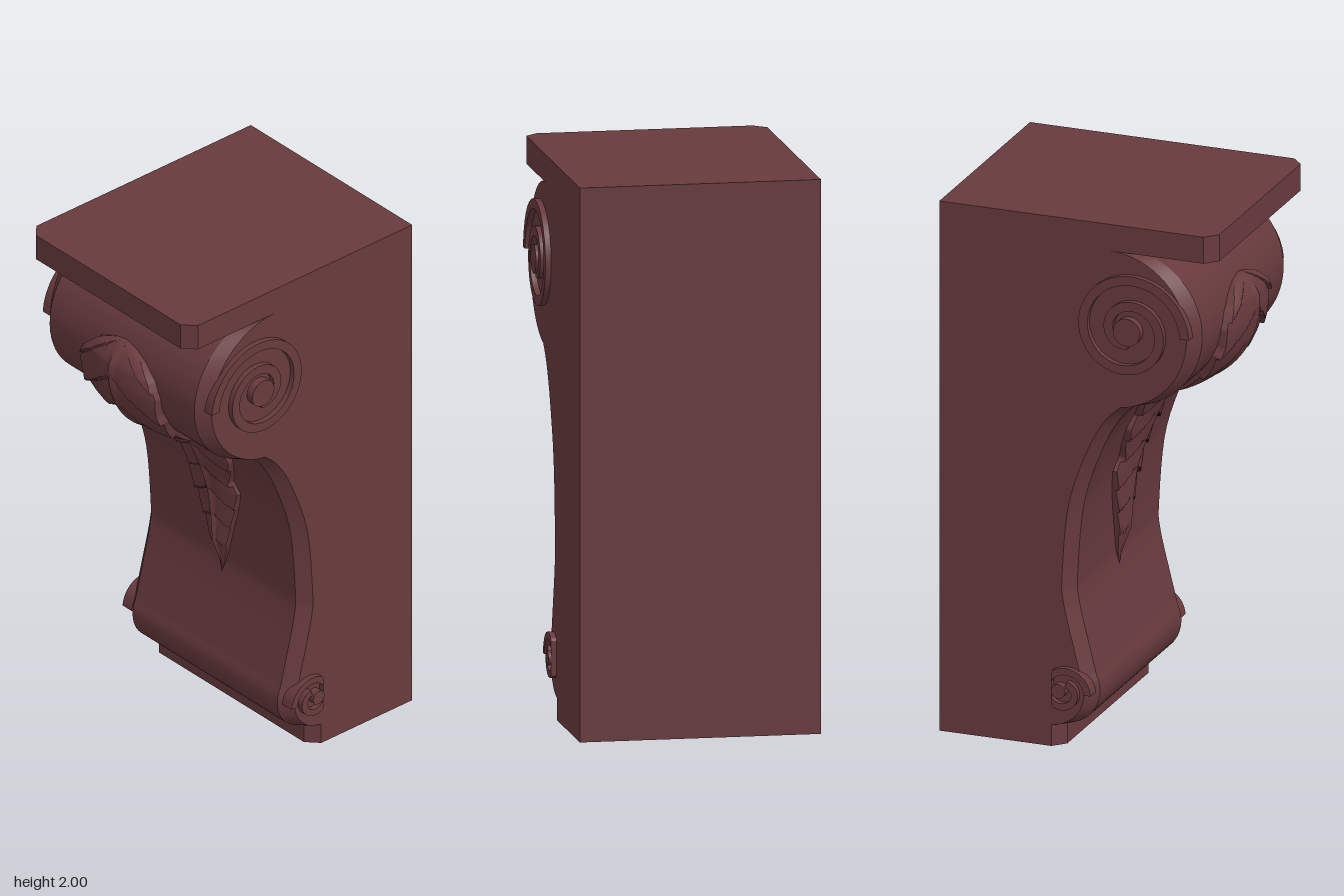
import * as THREE from 'three';
import { toCreasedNormals } from 'three/addons/utils/BufferGeometryUtils.js';

const V = (z, y) => new THREE.Vector2(z, y);
const material = new THREE.MeshStandardMaterial({ color: 0x683a3d, side: THREE.DoubleSide });

// Points of an arc in the side plane (z, y), angles in radians
function arc(cz, cy, r, a0, a1, n) {
  return Array.from({ length: n + 1 }, (_, i) => {
    const a = a0 + (a1 - a0) * i / n;
    return V(cz + r * Math.cos(a), cy + r * Math.sin(a));
  });
}

// Front curve: upper scroll, hollow throat, lower scroll
function frontCurve() {
  const upper = arc(0.16, 1.605, 0.295, Math.PI / 2, -1.43, 30);
  const lower = arc(-0.07, 0.215, 0.135, 0.44, -1.5, 16);
  const throat = new THREE.SplineCurve([
    upper.at(-1), V(0.14, 1.25), V(0.075, 1.13), V(0.005, 0.92),
    V(-0.02, 0.65), V(-0.015, 0.55), V(0.02, 0.4), lower[0],
  ]).getPoints(36).slice(1, -1);
  return [...upper, ...throat, ...lower];
}

// Solid profile across the width, its front edges chamfered at both sides
function bodyGeometry(front) {
  const shape = new THREE.Shape([
    V(-0.53, 0), V(-0.53, 2), V(0.52, 2), V(0.52, 1.9),
    ...front, V(-0.06, 0.08), V(-0.06, 0),
  ]);
  const geo = new THREE.ExtrudeGeometry(shape, { depth: 3, steps: 3, bevelEnabled: false });
  geo.rotateY(-Math.PI / 2);
  const xs = [0.435, 0.39, -0.39, -0.435];
  const p = geo.attributes.position;
  for (let i = 0; i < p.count; i++) {
    const k = Math.round(-p.getX(i));
    p.setX(i, xs[k]);
    if ((k === 0 || k === 3) && p.getZ(i) > -0.5) p.setZ(i, p.getZ(i) - 0.042);
  }
  geo.computeVertexNormals();
  return toCreasedNormals(geo, 0.35);
}

// Flat spiral band; zMin cuts it off at the back
function spiralGeometry(cz, cy, r0, r1, turns, width, zMin) {
  const n = Math.round(turns * 40), outer = [], inner = [];
  for (let i = 0; i <= n; i++) {
    const t = i / n, a = t * turns * Math.PI * 2, r = r0 + (r1 - r0) * t;
    const at = (q) => V(Math.max(zMin, cz + q * Math.cos(a)), cy + q * Math.sin(a));
    outer.push(at(r));
    inner.unshift(at(r - width));
  }
  const geo = new THREE.ExtrudeGeometry(new THREE.Shape([...outer, ...inner]), { depth: 0.05, bevelEnabled: false });
  geo.rotateY(-Math.PI / 2);
  geo.translate(0.025, 0, 0);
  return toCreasedNormals(geo, 0.5);
}

// Leaf half widths by height, with scalloped lobes
const leafWidths = [
  [0.55, 0], [0.75, 0.065], [0.95, 0.135], [1.0, 0.112], [1.05, 0.135], [1.13, 0.165],
  [1.18, 0.148], [1.28, 0.19], [1.33, 0.175], [1.37, 0.19], [1.47, 0.215], [1.5, 0.205],
  [1.57, 0.21], [1.63, 0.182], [1.68, 0.12], [1.705, 0.06], [1.716, 0],
];
function leafWidth(y) {
  const i = leafWidths.findIndex(([h]) => h >= y);
  if (i < 1) return 0;
  const [y0, w0] = leafWidths[i - 1], [y1, w1] = leafWidths[i];
  return w0 + (w1 - w0) * (y - y0) / (y1 - y0);
}

// Carved leaf draped over the front curve, with herringbone folds
function leafGeometry(front) {
  const curve = new THREE.SplineCurve(front);
  curve.arcLengthDivisions = 800;
  const length = curve.getLength(), cols = 48, rows = [];
  for (let i = 0; i <= 320; i++) {
    const pt = curve.getPointAt(i / 320);
    if (pt.y > 0.55 && pt.y < 1.716) rows.push({ pt, t: curve.getTangentAt(i / 320), s: length * i / 320 });
  }
  const pos = [], index = [], s0 = rows[0].s, total = rows.at(-1).s - s0;
  rows.forEach(({ pt, t, s }, i) => {
    const d = s - s0, w = leafWidth(pt.y);
    const thick = THREE.MathUtils.lerp(0.058, 0.036, Math.min(1, d / 0.5))
      * Math.min(1, Math.sqrt(d / 0.08)) * Math.min(1, (total - d) / 0.15);
    for (let j = 0; j <= cols; j++) {
      const u = j / cols * 2 - 1, a = Math.abs(u), x = u * w;
      const f = (((d - 0.65 * Math.abs(x)) / 0.12) % 1 + 1) % 1;
      const fold = 0.017 * (f - 0.5) * Math.min(1, d / 0.12) * Math.min(1, a * 4)
        * Math.min(1, (total - d) / 0.4);
      const ridge = 0.012 * Math.max(0, 1 - a * 7);
      const h = a > 0.99 ? -0.015 : thick * Math.sqrt(1 - 0.75 * a * a) + fold
        + ridge * Math.min(1, d / 0.1) * Math.min(1, (total - d) / 0.15);
      pos.push(x, pt.y + t.x * h, pt.x - t.y * h);
      if (i && j) {
        const c = i * (cols + 1) + j, b = c - 1, e = c - cols - 1;
        index.push(e - 1, b, c, e - 1, c, e);
      }
    }
  });
  const geo = new THREE.BufferGeometry();
  geo.setAttribute('position', new THREE.Float32BufferAttribute(pos, 3));
  geo.setIndex(index);
  geo.computeVertexNormals();
  return toCreasedNormals(geo, 0.6);
}

export function createModel() {
  const group = new THREE.Group();
  const add = (name, geo, x = 0, y = 0, z = 0) => {
    const mesh = new THREE.Mesh(geo, material);
    mesh.name = name;
    mesh.position.set(x, y, z);
    group.add(mesh);
  };
  const front = frontCurve();
  add('bracketBody', bodyGeometry(front));
  add('carvedLeaf', leafGeometry(front));

  // Spirals and their bosses on both sides
  const upperSpiral = spiralGeometry(0.195, 1.61, 0.235, 0.065, 1.75, 0.035, -1);
  const lowerSpiral = spiralGeometry(-0.05, 0.215, 0.105, 0.045, 1.2, 0.026, -0.095);
  const boss = (r) => new THREE.CylinderGeometry(r, r, 0.06, 28).rotateZ(Math.PI / 2);
  for (const [side, s] of [['left', 1], ['right', -1]]) {
    add(side + 'UpperSpiral', upperSpiral, s * 0.431);
    add(side + 'UpperBoss', boss(0.052), s * 0.434, 1.61, 0.195);
    add(side + 'LowerSpiral', lowerSpiral, s * 0.431);
    add(side + 'LowerBoss', boss(0.027), s * 0.434, 0.22, -0.066);
  }
  return group;
}
